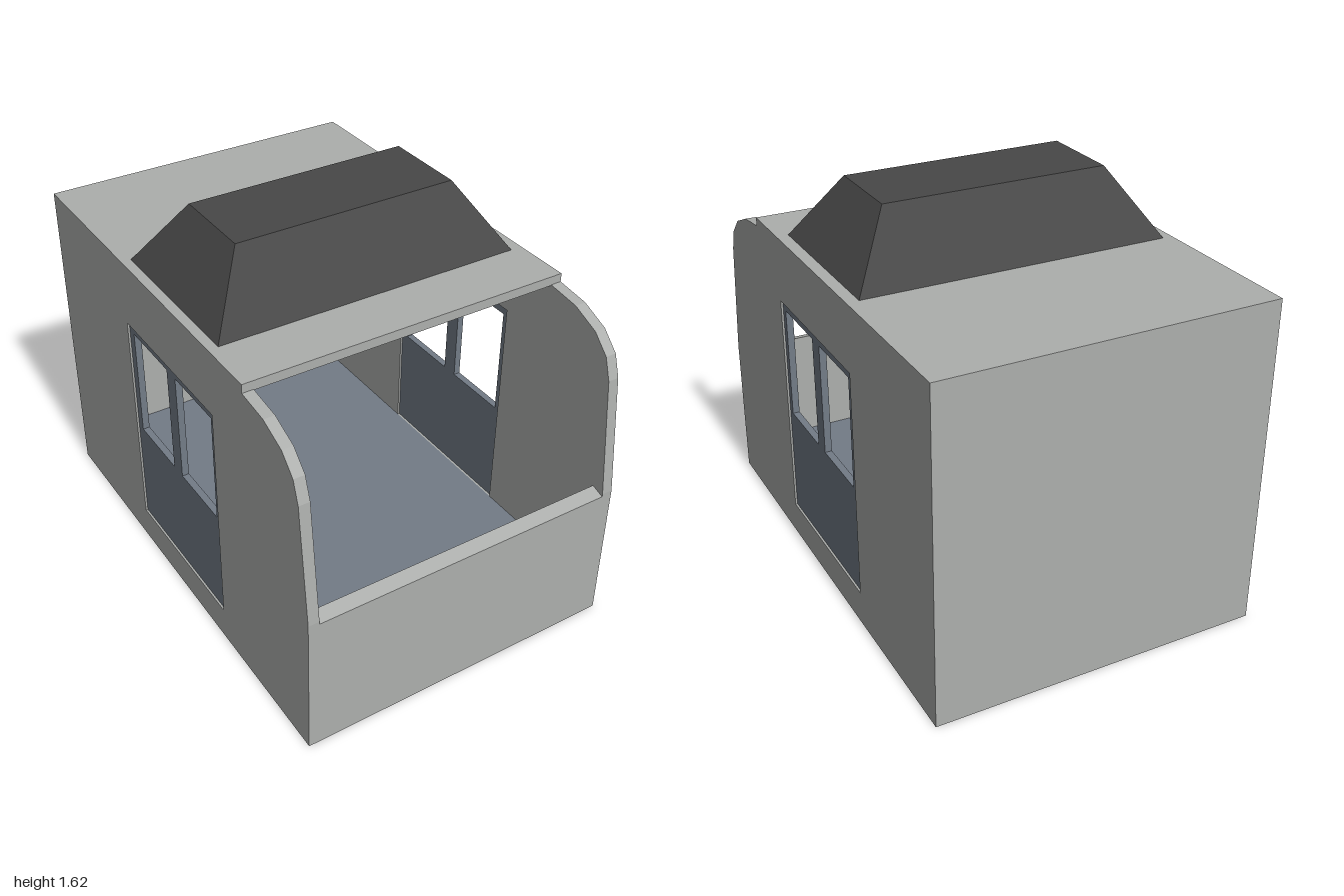
import * as THREE from 'three';

export function createModel() {
  const model = new THREE.Group();
  const grey = new THREE.MeshStandardMaterial({ name: 'wall grey', color: 0xadafad });
  const blue = new THREE.MeshStandardMaterial({ name: 'blue grey', color: 0x737c87 });
  const dark = new THREE.MeshStandardMaterial({ name: 'dark roof grey', color: 0x484848 });

  const add = (name, geometry, material) => {
    const mesh = new THREE.Mesh(geometry, material);
    mesh.name = name;
    model.add(mesh);
    return mesh;
  };
  const box = (name, material, x0, x1, y0, y1, z0, z1) => {
    const mesh = add(name, new THREE.BoxGeometry(x1 - x0, y1 - y0, z1 - z0), material);
    mesh.position.set((x0 + x1) / 2, (y0 + y1) / 2, (z0 + z1) / 2);
    return mesh;
  };
  const points = (list) => list.map(([z, y]) => new THREE.Vector2(z, y));
  const rect = (z0, z1, y0, y1) => points([[z0, y0], [z1, y0], [z1, y1], [z0, y1]]);
  // Extrudes a (z, y) outline across x, from x0 to x1
  const slab = (name, material, outline, holes, x0, x1) => {
    const shape = new THREE.Shape(outline);
    holes.forEach((hole) => shape.holes.push(new THREE.Path(hole)));
    const geometry = new THREE.ExtrudeGeometry(shape, { depth: x1 - x0, bevelEnabled: false });
    geometry.rotateY(-Math.PI / 2).translate(x1, 0, 0);
    return add(name, geometry, material);
  };

  const W = 0.675, T = 0.045, IN = W - T;

  // Side walls with the curved front edge and a doorway
  const wall = points([[-1, 0], [1, 0], [1, 0.61], [0.945, 1.1], [0.915, 1.19],
    [0.845, 1.26], [0.73, 1.308], [0.59, 1.325], [-1, 1.325]]);
  const doorway = rect(-0.342, 0.358, 0.14, 1.09);
  const windows = [rect(-0.305, -0.022, 0.595, 1.055), rect(0.047, 0.33, 0.595, 1.055)];
  for (const [side, x] of [['left', W - T / 2], ['right', -W + T / 2]]) {
    slab(side + 'Wall', grey, wall, [doorway], x - T / 2, x + T / 2);
    // Door set slightly back into the wall, with two windows
    slab(side + 'Door', blue, doorway, windows, x - 0.014, x + 0.014);
  }

  // Low front wall with a sloping sill
  slab('frontWall', grey, points([[0.945, 0], [1, 0], [1, 0.598], [0.945, 0.615]]), [], -IN, IN);
  box('backWall', grey, -IN, IN, 0, 1.325, -1, -0.955);
  box('base', grey, -IN, IN, 0, 0.132, -0.955, 0.945);
  box('floor', blue, -IN, IN, 0.132, 0.14, -0.955, 0.945);
  box('roof', grey, -W, W, 1.322, 1.36, -1, 0.59);

  // Roof hood: a box narrowed towards its top
  const hood = box('roofHood', dark, -0.635, 0.627, 1.36, 1.625, -0.342, 0.354);
  const p = hood.geometry.attributes.position;
  for (let i = 0; i < p.count; i++) {
    if (p.getY(i) > 0) {
      p.setX(i, Math.sign(p.getX(i)) * 0.459);
      p.setZ(i, Math.sign(p.getZ(i)) * 0.174);
    }
  }
  hood.geometry.computeVertexNormals();

  return model;
}
